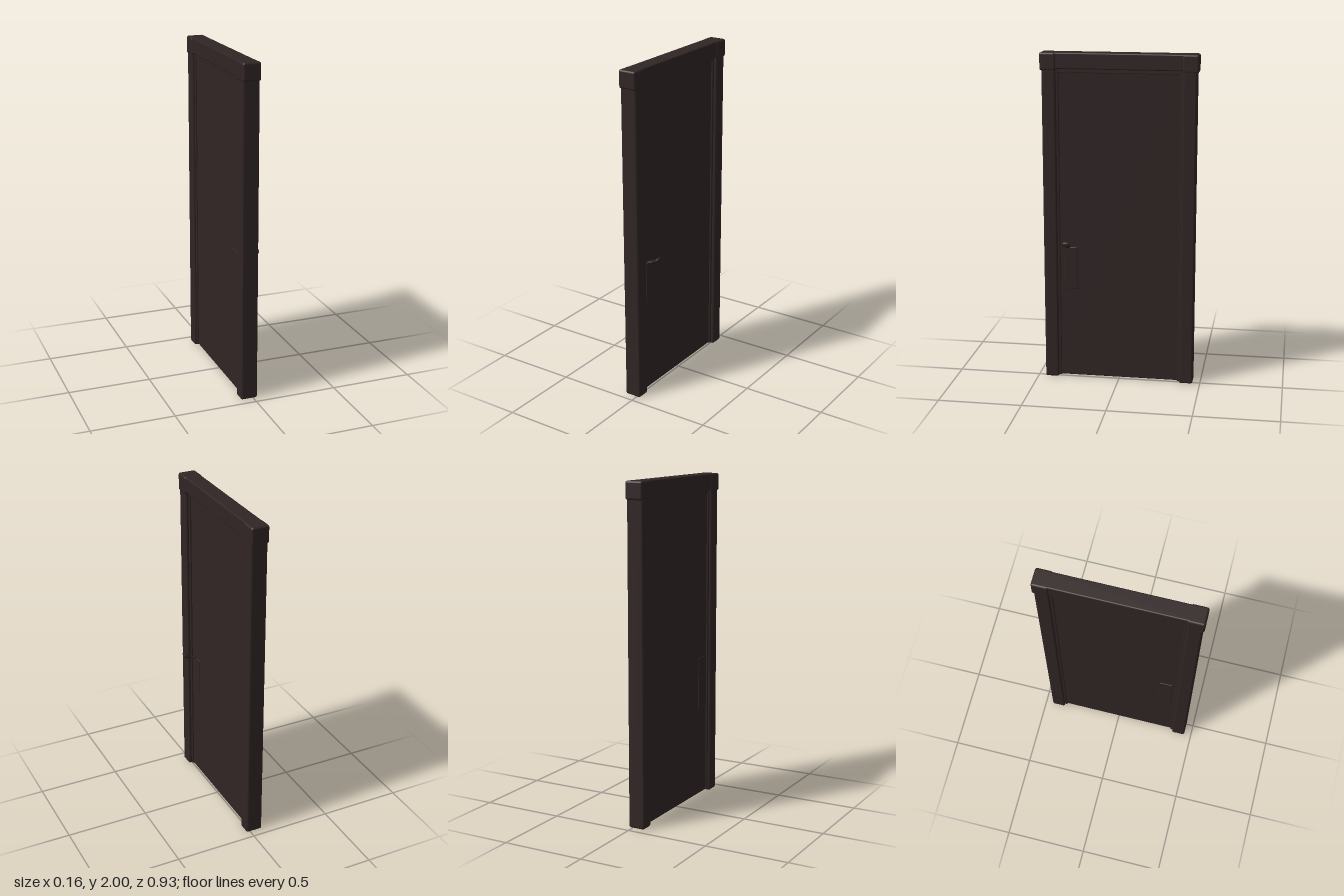
import * as THREE from 'three';
import { RoundedBoxGeometry } from 'three/addons/geometries/RoundedBoxGeometry.js';

export function createModel() {
  const door = new THREE.Group();
  door.name = 'door';
  const wood = new THREE.MeshStandardMaterial({ color: 0x302524 });
  wood.name = 'darkWood';

  // Softly rounded board given by its limits on each axis
  const board = (name, [x0, x1], [y0, y1], [z0, z1], r = 0.008) => {
    const geo = new RoundedBoxGeometry(x1 - x0, y1 - y0, z1 - z0, 3, r);
    const mesh = new THREE.Mesh(geo, wood);
    mesh.name = name;
    mesh.position.set((x0 + x1) / 2, (y0 + y1) / 2, (z0 + z1) / 2);
    door.add(mesh);
    return mesh;
  };
  const span = (s, a, b) => (s > 0 ? [a, b] : [-b, -a]);

  // Recessed leaf
  board('panel', [-0.053, -0.004], [0.008, 1.93], [-0.38, 0.38], 0.004);

  // Jambs, inner stops and header end blocks
  for (const s of [1, -1]) {
    board('jamb', [-0.077, 0.025], [0, 1.92], span(s, 0.372, 0.455), 0.012);
    board('jambStop', [-0.062, 0.006], [0.006, 1.91], span(s, 0.358, 0.385), 0.005);
    board('headerBlock', [-0.08, 0.028], [1.895, 2], span(s, 0.37, 0.466), 0.012);
  }

  // Header across the top with a stop below it
  board('header', [-0.075, 0.023], [1.905, 2], [-0.44, 0.44], 0.008);
  board('headerStop', [-0.06, 0.003], [1.882, 1.915], [-0.365, 0.365], 0.004);

  // Shallow lock plates on both faces
  board('lockPlate', [-0.012, 0.001], [0.565, 0.83], [0.255, 0.335], 0.004);
  board('backLockPlate', [-0.058, -0.045], [0.55, 0.88], [0.255, 0.335], 0.004);

  // Flared handle, rising away from the leaf
  const profile = [[0, -0.005], [0.014, -0.005], [0.014, 0.028], [0.012, 0.045],
    [0.018, 0.058], [0.026, 0.074], [0.025, 0.081], [0.018, 0.085], [0, 0.086]];
  const knob = new THREE.LatheGeometry(profile.map(p => new THREE.Vector2(...p)), 24);
  knob.scale(0.55, 1, 1);
  knob.rotateZ(-Math.PI / 2);
  const pos = knob.attributes.position;
  for (let i = 0; i < pos.count; i++) {
    pos.setY(i, pos.getY(i) + Math.max(0, pos.getX(i) - 0.015) * 0.55);
  }
  knob.computeVertexNormals();
  const handle = new THREE.Mesh(knob, wood);
  handle.name = 'handle';
  handle.position.set(-0.006, 0.828, 0.312);
  door.add(handle);

  return door;
}
